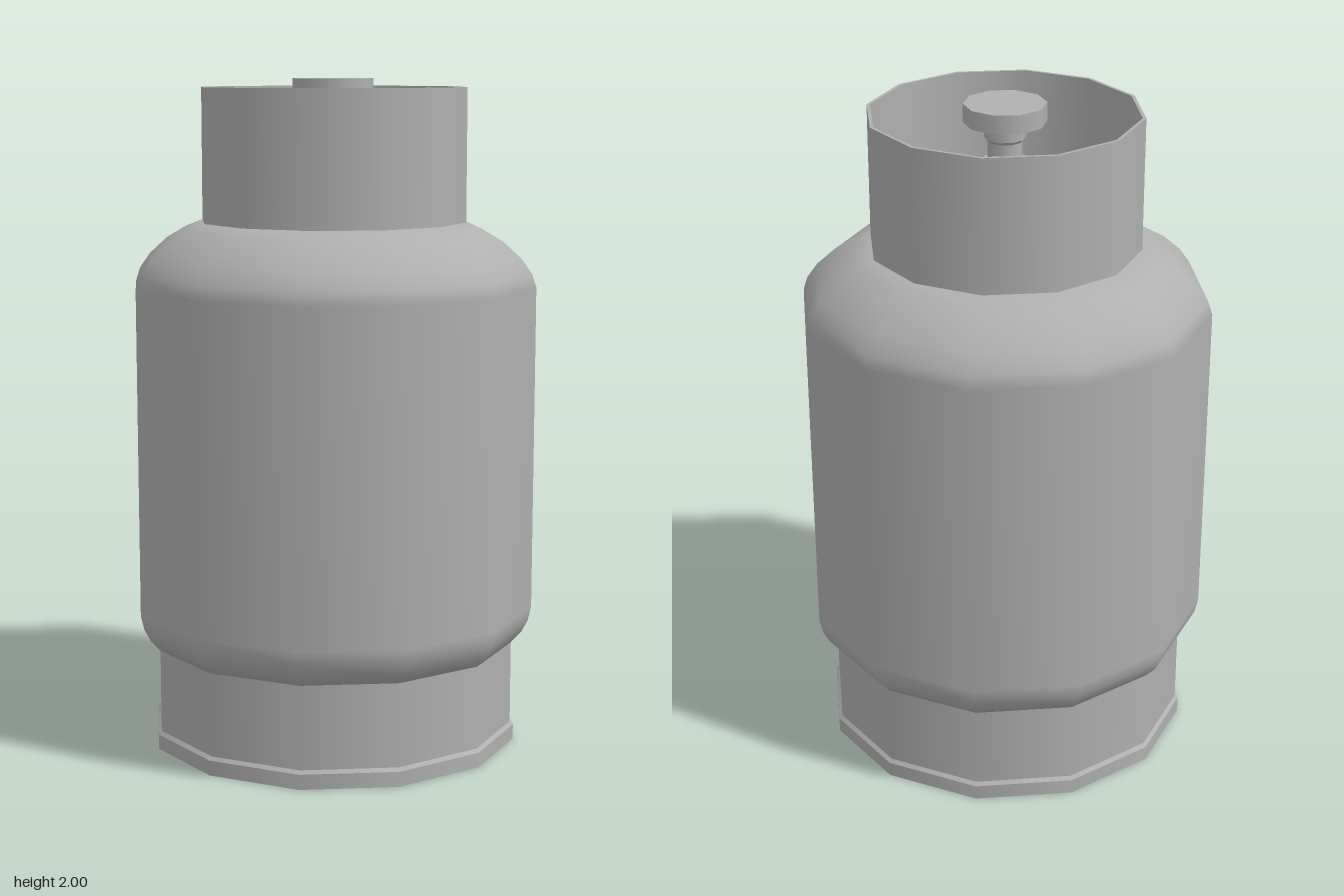
import * as THREE from 'three';

// Lathe whose profile (bottom to top on the outside) has a sharp corner at every point
function sharpLathe(points, sides) {
  const pts = [];
  points.forEach(([r, y], i) => {
    pts.push(new THREE.Vector2(r, y));
    if (i > 0 && i < points.length - 1) pts.push(new THREE.Vector2(r, y));
  });
  return new THREE.LatheGeometry(pts, sides);
}

export function createModel() {
  const group = new THREE.Group();
  const steel = new THREE.MeshStandardMaterial({ color: 0xb0b0b0 });
  steel.name = 'grey steel';

  function add(name, geometry) {
    geometry.normalizeNormals();
    const mesh = new THREE.Mesh(geometry, steel);
    mesh.name = name;
    group.add(mesh);
  }

  // Tank with rounded shoulders, gently domed at both ends
  const tank = [
    [0, 0.28], [0.3, 0.285], [0.55, 0.305], [0.58, 0.338], [0.6, 0.375], [0.61, 0.42],
    [0.61, 1.39], [0.597, 1.43], [0.565, 1.475], [0.51, 1.525], [0.45, 1.56],
    [0.4, 1.58], [0.2, 1.61], [0, 1.62],
  ].map(([r, y]) => new THREE.Vector2(r, y));
  add('tank', new THREE.LatheGeometry(tank, 12));

  // Open foot skirt with a rim around its lower edge
  add('footSkirt', sharpLathe([
    [0.54, 0], [0.56, 0], [0.56, 0.045], [0.55, 0.055], [0.55, 0.31], [0.54, 0.31], [0.54, 0],
  ], 12));

  // Open guard collar around the valve
  add('guardCollar', sharpLathe([
    [0.39, 1.56], [0.4, 1.56], [0.4, 1.975], [0.39, 1.975], [0.39, 1.56],
  ], 12));

  // Valve body, stem and hand wheel
  add('valveBody', sharpLathe([[0.07, 1.59], [0.07, 1.83], [0, 1.83]], 10));
  add('valveStem', sharpLathe([[0.05, 1.82], [0.05, 1.89], [0.06, 1.9], [0.06, 1.95]], 10));
  add('handWheel', sharpLathe([[0, 1.945], [0.12, 1.945], [0.12, 2], [0, 2]], 10));

  return group;
}
